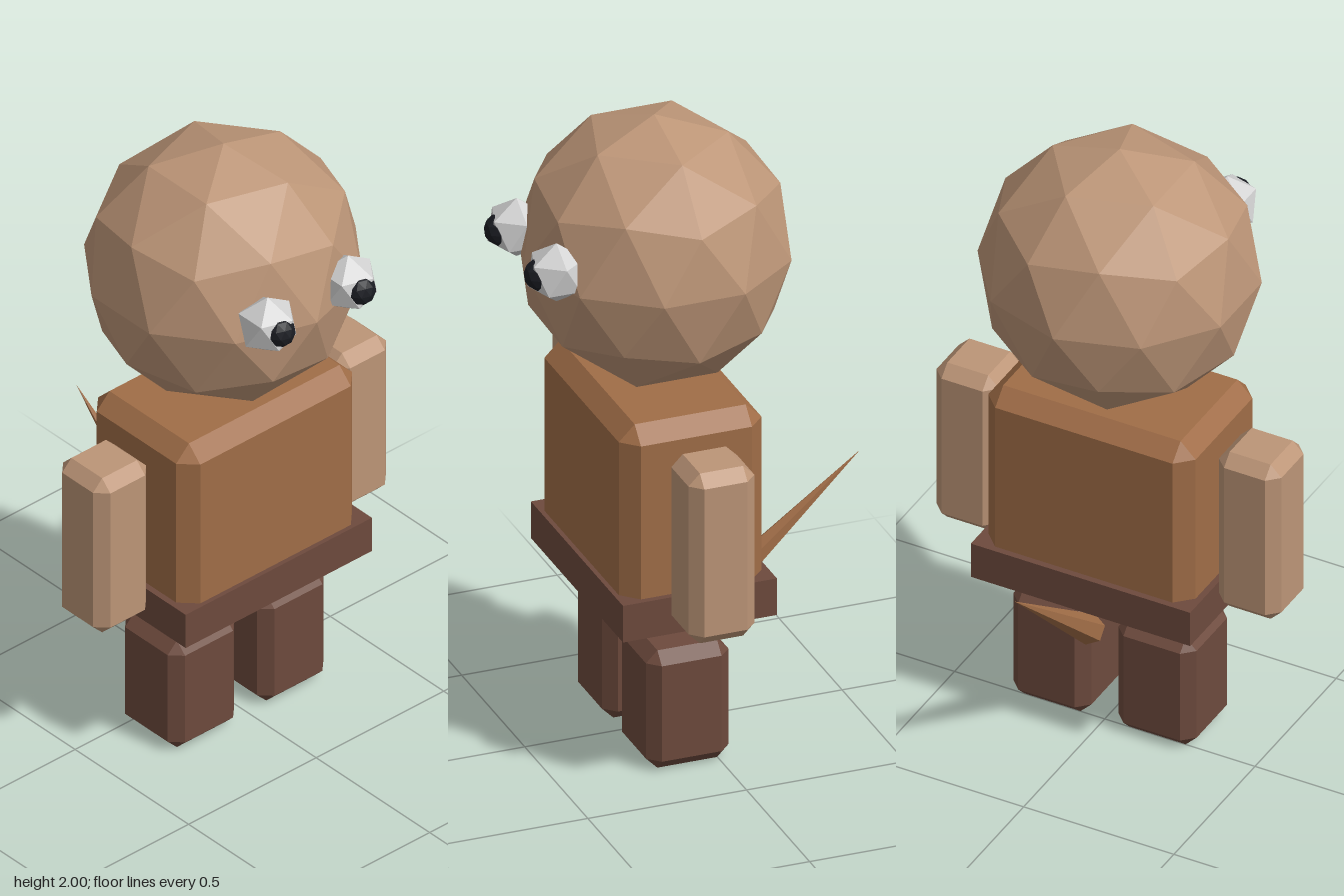
import * as THREE from 'three';
import { ConvexGeometry } from 'three/addons/geometries/ConvexGeometry.js';

const material = (name, color) => {
  const m = new THREE.MeshStandardMaterial({ color, flatShading: true });
  m.name = name;
  return m;
};

// Box with every edge cut by a single flat chamfer
function chamferedBox(w, h, d, bevel) {
  const half = [w / 2, h / 2, d / 2];
  const points = [];
  for (const sx of [-1, 1]) for (const sy of [-1, 1]) for (const sz of [-1, 1]) {
    for (let axis = 0; axis < 3; axis++) {
      const p = half.map((v, i) => (i === axis ? v : v - bevel));
      points.push(new THREE.Vector3(sx * p[0], sy * p[1], sz * p[2]));
    }
  }
  return new ConvexGeometry(points);
}

// Faceted ball with one corner pointing straight up
function facetedBall(radius, detail) {
  const tilt = Math.atan(2 / (1 + Math.sqrt(5)));
  return new THREE.IcosahedronGeometry(radius, detail).rotateZ(-tilt);
}

export function createModel() {
  const model = new THREE.Group();
  model.name = 'figure';

  const skin = material('tan skin', 0xbc9577);
  const shirt = material('brown fur', 0xa06d47);
  const dark = material('dark brown', 0x6d4a3d);
  const white = material('eye white', 0xd2d2d2);
  const black = material('pupil black', 0x1a1c22);

  const add = (name, geometry, mat, x, y, z) => {
    const mesh = new THREE.Mesh(geometry, mat);
    mesh.name = name;
    mesh.position.set(x, y, z);
    model.add(mesh);
    return mesh;
  };

  // Head, slightly flattened front to back
  add('head', facetedBall(0.425, 1), skin, 0, 1.575, 0.092).scale.z = 0.97;

  // Body and belt
  add('torso', chamferedBox(0.69, 0.695, 0.45, 0.05), shirt, 0, 0.807, 0.096);
  add('belt', new THREE.BoxGeometry(0.73, 0.12, 0.485), dark, 0, 0.543, 0.093);

  // Paired parts
  for (const [side, s] of [['left', 1], ['right', -1]]) {
    add(side + 'Arm', chamferedBox(0.208, 0.557, 0.208, 0.036), skin, s * 0.47, 0.808, 0.094);
    add(side + 'Leg', chamferedBox(0.26, 0.385, 0.26, 0.036), dark, s * 0.175, 0.1925, 0.095);
    add(side + 'Eye', facetedBall(0.095, 0), white, s * 0.158, 1.625, 0.463);
    add(side + 'Pupil', facetedBall(0.049, 1), black, s * 0.158, 1.627, 0.515);
  }

  // Pointed tail rising backwards from the hips
  const base = new THREE.Vector3(0, 0.38, -0.089);
  const tip = new THREE.Vector3(0, 0.778, -0.557);
  const along = tip.clone().sub(base);
  const centre = base.clone().add(tip).multiplyScalar(0.5);
  const tail = add('tail', new THREE.ConeGeometry(0.047, along.length(), 6), shirt, 0, centre.y, centre.z);
  tail.rotation.x = Math.atan2(along.z, along.y);

  return model;
}
